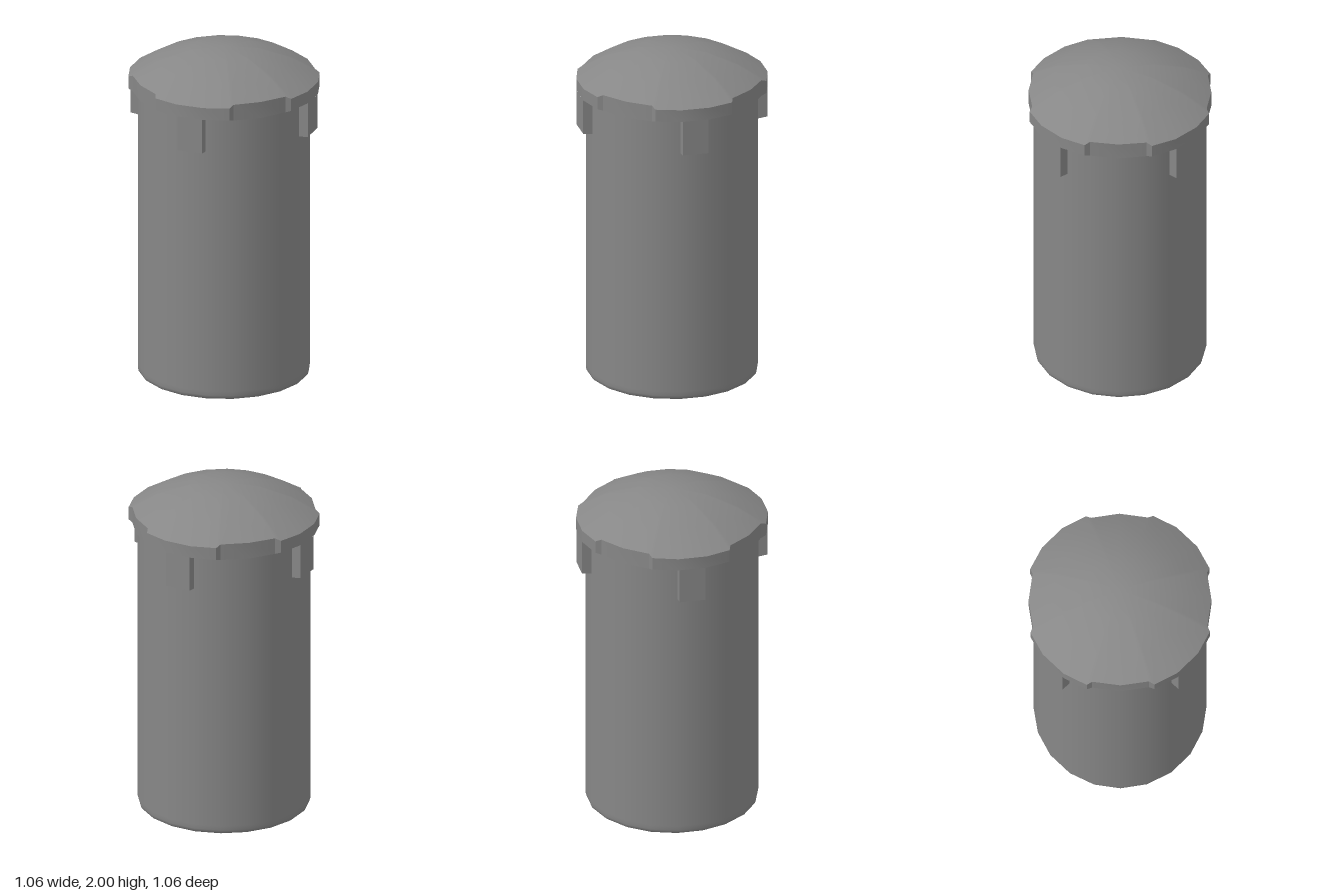
import * as THREE from 'three';
import { mergeVertices, toCreasedNormals } from 'three/addons/utils/BufferGeometryUtils.js';

const material = new THREE.MeshStandardMaterial({ color: 0x878787 });
const polar = (r, deg, y) => {
  const a = THREE.MathUtils.degToRad(deg);
  return new THREE.Vector3(r * Math.sin(a), y, r * Math.cos(a));
};

function makeMesh(name, geometry) {
  const mesh = new THREE.Mesh(geometry, material);
  mesh.name = name;
  return mesh;
}

// Skin closed loops of points, listed from top to bottom
function loft(rings) {
  const out = [];
  const tri = (p, q, r) => {
    if (p.distanceTo(q) > 1e-6 && q.distanceTo(r) > 1e-6 && r.distanceTo(p) > 1e-6)
      for (const v of [p, q, r]) out.push(v.x, v.y, v.z);
  };
  for (let i = 0; i < rings.length - 1; i++) {
    const top = rings[i], low = rings[i + 1], n = top.length;
    for (let j = 0; j < n; j++) {
      const k = (j + 1) % n;
      tri(top[j], low[j], low[k]);
      tri(top[j], low[k], top[k]);
    }
  }
  const g = new THREE.BufferGeometry();
  g.setAttribute('position', new THREE.Float32BufferAttribute(out, 3));
  return g;
}

export function createModel() {
  const group = new THREE.Group();
  group.name = 'lidded canister';

  // Twenty-sided smooth body with a soft bevel round the base
  const profile = [[0, 0], [0.47, 0], [0.485, 0], [0.495, 0.008], [0.5, 0.025], [0.5, 0.05], [0.5, 1.8]]
    .map(([r, y]) => new THREE.Vector2(r, y));
  group.add(makeMesh('body', new THREE.LatheGeometry(profile, 20)));

  // Lid outline: four thick sections on the diagonals, thin ones between
  const outline = [];
  for (let q = 0; q < 4; q++) {
    for (const [a, r] of [[0, 0.528], [18, 0.53], [20.6, 0.554], [36.3, 0.556],
      [53.7, 0.556], [69.4, 0.554], [72, 0.53]]) outline.push([a + q * 90, r]);
  }
  const circle = (r, y) => outline.map(([a]) => polar(r, a, y));
  const edge = (y, slope) => outline.map(([a, r]) => polar(r, a, y + (r - 0.528) * slope));
  const rim = edge(1.837, -0.55);

  // Smooth domed top
  const dome = mergeVertices(loft([circle(0, 2), circle(0.2, 1.98), circle(0.39, 1.917), rim]));
  dome.computeVertexNormals();
  group.add(makeMesh('lidDome', dome));

  // Crisp band and its underside
  const band = loft([rim, edge(1.738, 0.4), circle(0.495, 1.735)]);
  group.add(makeMesh('lidBand', toCreasedNormals(band, 0.5)));

  // Four parallel-sided clip tabs, flush with the thick lid sections
  const half = 0.077, inner = 0.47, outer = 0.5496;
  const tabRing = (yIn, yOut) => [
    new THREE.Vector3(-half, yOut, outer), new THREE.Vector3(half, yOut, outer),
    new THREE.Vector3(half, yIn, inner), new THREE.Vector3(-half, yIn, inner),
  ];
  const base = Array(4).fill(new THREE.Vector3(0, 1.535, (inner + outer) / 2));
  const tab = toCreasedNormals(loft([tabRing(1.749, 1.749), tabRing(1.53, 1.54), base]), 0.5);
  for (let q = 0; q < 4; q++) {
    const clip = makeMesh('clipTab', tab);
    clip.rotation.y = Math.PI / 4 + q * Math.PI / 2;
    group.add(clip);
  }
  return group;
}
